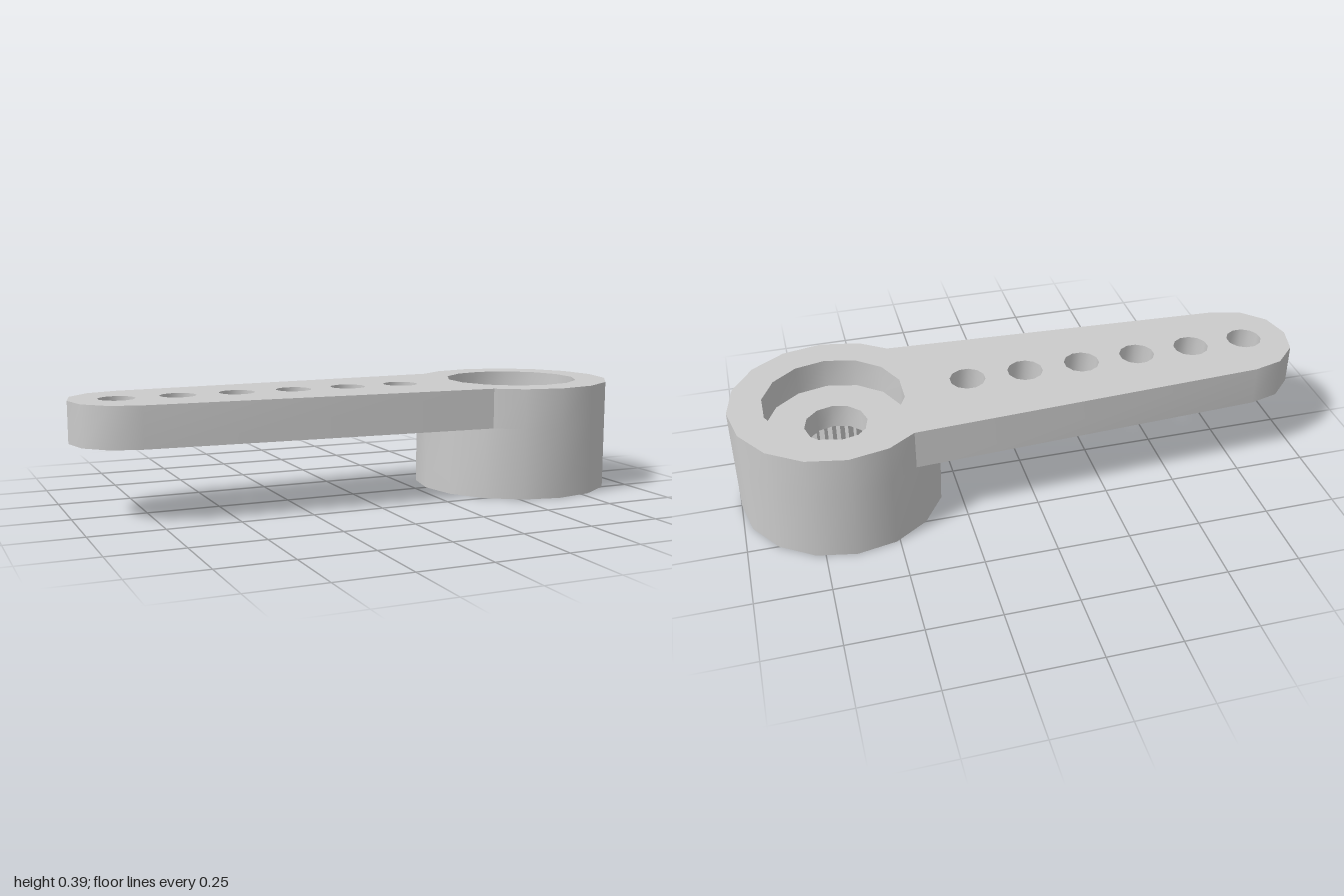
import * as THREE from 'three';
import { mergeGeometries, toCreasedNormals } from 'three/addons/utils/BufferGeometryUtils.js';

const TOP = 0.39, ARM_BOTTOM = 0.25, RECESS_FLOOR = 0.285, SOCKET_TOP = 0.2;
const HUB_X = 0.647, HUB_R = 0.353;

// Regular polygon in plan, counter-clockwise; radius may alternate for teeth.
function ring(cx, r, sides, start = 0, r2 = r) {
  return Array.from({ length: sides }, (_, i) => {
    const a = start + (i / sides) * Math.PI * 2;
    const rad = i % 2 ? r2 : r;
    return new THREE.Vector2(cx + rad * Math.cos(a), rad * Math.sin(a));
  });
}

// Horizontal face at height y, with holes, facing up or down.
function cap(outline, holes, y, up) {
  const shape = new THREE.Shape(outline);
  shape.holes = holes.map((h) => new THREE.Path(h));
  const g = new THREE.ShapeGeometry(shape).toNonIndexed();
  g.deleteAttribute('uv');
  g.rotateX(up ? -Math.PI / 2 : Math.PI / 2);
  return g.translate(0, y, 0);
}

// Vertical wall along a plan path, facing outward or inward.
function wall(path, y0, y1, { inward = false, closed = true } = {}) {
  const pos = [];
  const count = closed ? path.length : path.length - 1;
  for (let i = 0; i < count; i++) {
    let a = path[i], b = path[(i + 1) % path.length];
    if (inward) [a, b] = [b, a];
    pos.push(a.x, y0, -a.y, b.x, y0, -b.y, b.x, y1, -b.y);
    pos.push(a.x, y0, -a.y, b.x, y1, -b.y, a.x, y1, -a.y);
  }
  const g = new THREE.BufferGeometry();
  g.setAttribute('position', new THREE.Float32BufferAttribute(pos, 3));
  g.computeVertexNormals();
  return g;
}

function part(name, pieces) {
  const geometry = toCreasedNormals(mergeGeometries(pieces), 0.6);
  const mesh = new THREE.Mesh(geometry, new THREE.MeshStandardMaterial({ color: 0xcccccc }));
  mesh.name = name;
  return mesh;
}

export function createModel() {
  const model = new THREE.Group();
  model.name = 'servoArm';

  const hub = ring(HUB_X, HUB_R, 16);
  // Points where the arm sides run into the hub
  const joinA = hub[5].clone().lerp(hub[6], 0.8);
  const joinB = new THREE.Vector2(joinA.x, -joinA.y);

  // Hub: outer wall, screw recess, screw hole and splined socket
  const recess = ring(HUB_X, 0.24, 14, Math.PI / 2);
  const screw = ring(HUB_X, 0.108, 12);
  const socket = ring(HUB_X, 0.25, 100, 0, 0.232);
  const upperArc = [joinB, ...hub.slice(11), ...hub.slice(0, 6), joinA];
  const inward = { inward: true };
  model.add(part('hub', [
    wall(hub, 0, ARM_BOTTOM),
    wall(upperArc, ARM_BOTTOM, TOP, { closed: false }),
    cap(hub, [recess], TOP, true),
    wall(recess, RECESS_FLOOR, TOP, inward),
    cap(recess, [screw], RECESS_FLOOR, true),
    wall(screw, SOCKET_TOP, RECESS_FLOOR, inward),
    cap(socket, [screw], SOCKET_TOP, false),
    wall(socket, 0, SOCKET_TOP, inward),
    cap(hub, [socket], 0, false),
  ]));

  // Arm: tapered bar with a rounded tip and a row of through holes
  const tip = ring(-0.8, 0.203, 12, Math.PI / 2).slice(0, 7);
  tip.forEach((p) => { p.x = Math.max(p.x, -1); });
  const sides = [joinA, ...tip, joinB];
  const outline = [...sides, ...hub.slice(6, 11).reverse()];
  const holes = Array.from({ length: 6 }, (_, i) => ring(-0.84 + i * 0.205, 0.062, 12, Math.PI / 12));
  model.add(part('arm', [
    cap(outline, holes, TOP, true),
    cap(outline, holes, ARM_BOTTOM, false),
    wall(sides, ARM_BOTTOM, TOP, { closed: false }),
    ...holes.map((h) => wall(h, ARM_BOTTOM, TOP, inward)),
  ]));

  return model;
}
